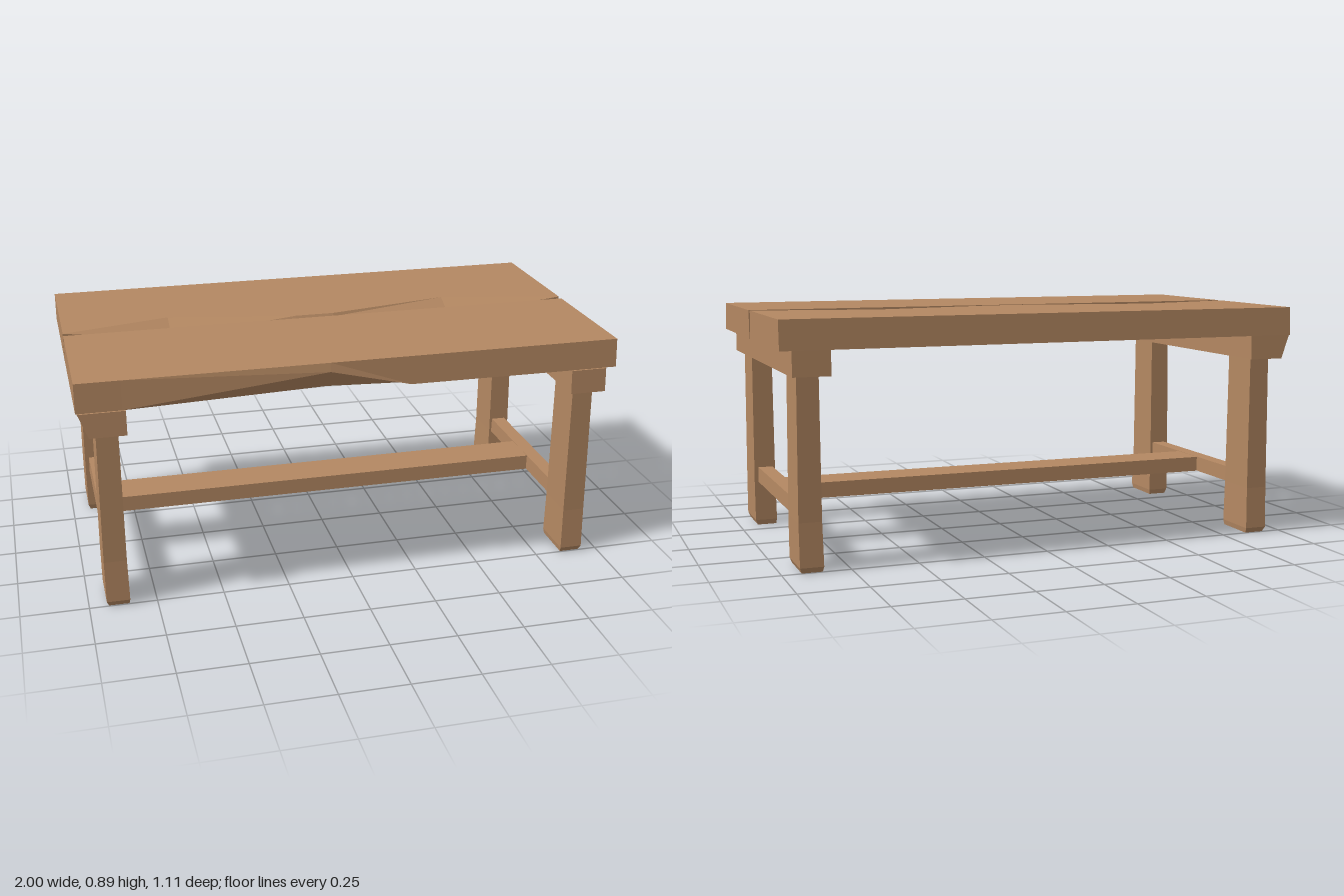
import * as THREE from 'three';

const wood = new THREE.MeshStandardMaterial({ color: 0xb48862, flatShading: true });
wood.name = 'warm wood';

// Solid skinned over rings of [x, y, z] points, closed at both ends
function loft(name, rings) {
  const tris = [];
  const n = rings[0].length;
  const tri = (a, b, c) => tris.push(a, b, c);
  for (let r = 0; r < rings.length - 1; r++) {
    for (let i = 0; i < n; i++) {
      const j = (i + 1) % n;
      const a = rings[r][i], b = rings[r][j], c = rings[r + 1][j], d = rings[r + 1][i];
      tri(a, b, c);
      tri(a, c, d);
    }
  }
  const first = rings[0], last = rings[rings.length - 1];
  for (let i = 1; i < n - 1; i++) {
    tri(first[0], first[i + 1], first[i]);
    tri(last[0], last[i], last[i + 1]);
  }
  // Turn the faces outward if the enclosed volume is negative
  const v = tris.map((p) => new THREE.Vector3(...p));
  let volume = 0;
  for (let i = 0; i < v.length; i += 3) volume += v[i].dot(v[i + 1].clone().cross(v[i + 2]));
  if (volume < 0) v.reverse();
  const geometry = new THREE.BufferGeometry().setFromPoints(v);
  geometry.computeVertexNormals();
  const mesh = new THREE.Mesh(geometry, wood);
  mesh.name = name;
  return mesh;
}

// Rectangle ring lying flat at height y
const flat = (y, x0, x1, z0, z1) => [[x0, y, z0], [x1, y, z0], [x1, y, z1], [x0, y, z1]];

export function createModel() {
  const table = new THREE.Group();
  table.name = 'rusticTable';
  const top = 0.892, under = 0.785;

  // Front plank: a chip is cut from its lower front edge [x, height, inset]
  const frontChip = [[-1, 0, 0], [-0.84, 0, 0], [-0.1, 0.075, 0.06], [0.2, 0.002, 0.03], [0.75, 0, 0], [1, 0, 0]];
  table.add(loft('frontPlank', frontChip.map(([x, h, d]) => [
    [x, top, 0.014], [x, top, 0.535], [x, under + h, 0.543],
    [x, under, 0.543 - d], [x, under, 0.007],
  ])));

  // Back plank: two shallow chips along the upper edge of the gap [x, depth, width]
  const gapChips = [[-1, 0, 0], [-0.59, 0.05, 0.105], [-0.1, 0.012, 0.006], [0.05, 0.012, 0.006], [0.53, 0.05, 0.105], [1, 0, 0]];
  table.add(loft('backPlank', gapChips.map(([x, h, d]) => [
    [x, top, -0.014 - d], [x, top, -0.538], [x, under, -0.546],
    [x, under, -0.007], [x, top - h, -0.013],
  ])));

  // Cross bearers under the plank ends; the right-hand one flares out at the top
  table.add(loft('rightBearer', [
    flat(0.695, -0.96, -0.828, -0.55, 0.555),
    flat(under, -0.995, -0.828, -0.545, 0.55),
  ]));
  table.add(loft('leftBearer', [
    flat(0.695, 0.822, 0.958, -0.55, 0.555),
    flat(under, 0.822, 0.958, -0.545, 0.55),
  ]));

  for (const s of [-1, 1]) {
    const side = s < 0 ? 'right' : 'left';
    // Legs, slightly spread and worn at the feet
    for (const f of [-1, 1]) {
      const ring = (y, inner, outer, z0, z1) => flat(y, s * inner, s * outer, f * z0, f * z1);
      table.add(loft(side + (f < 0 ? 'Back' : 'Front') + 'Leg', [
        ring(0, 0.853, 0.928, 0.333, 0.496),
        ring(0.02, 0.85, 0.936, 0.329, 0.506),
        ring(0.18, 0.853, 0.937, 0.33, 0.499),
        ring(0.697, 0.855, 0.934, 0.336, 0.497),
      ]));
    }
    // Rail joining the two legs of each end
    table.add(loft(side + 'Rail', [
      flat(0.178, s * 0.862, s * 0.922, -0.34, 0.34),
      flat(0.237, s * 0.864, s * 0.92, -0.34, 0.34),
    ]));
  }

  // Long stretcher between the end rails
  table.add(loft('stretcher', [
    flat(0.177, -0.87, 0.87, -0.077, 0.085),
    flat(0.236, -0.87, 0.87, -0.075, 0.083),
  ]));
  return table;
}
